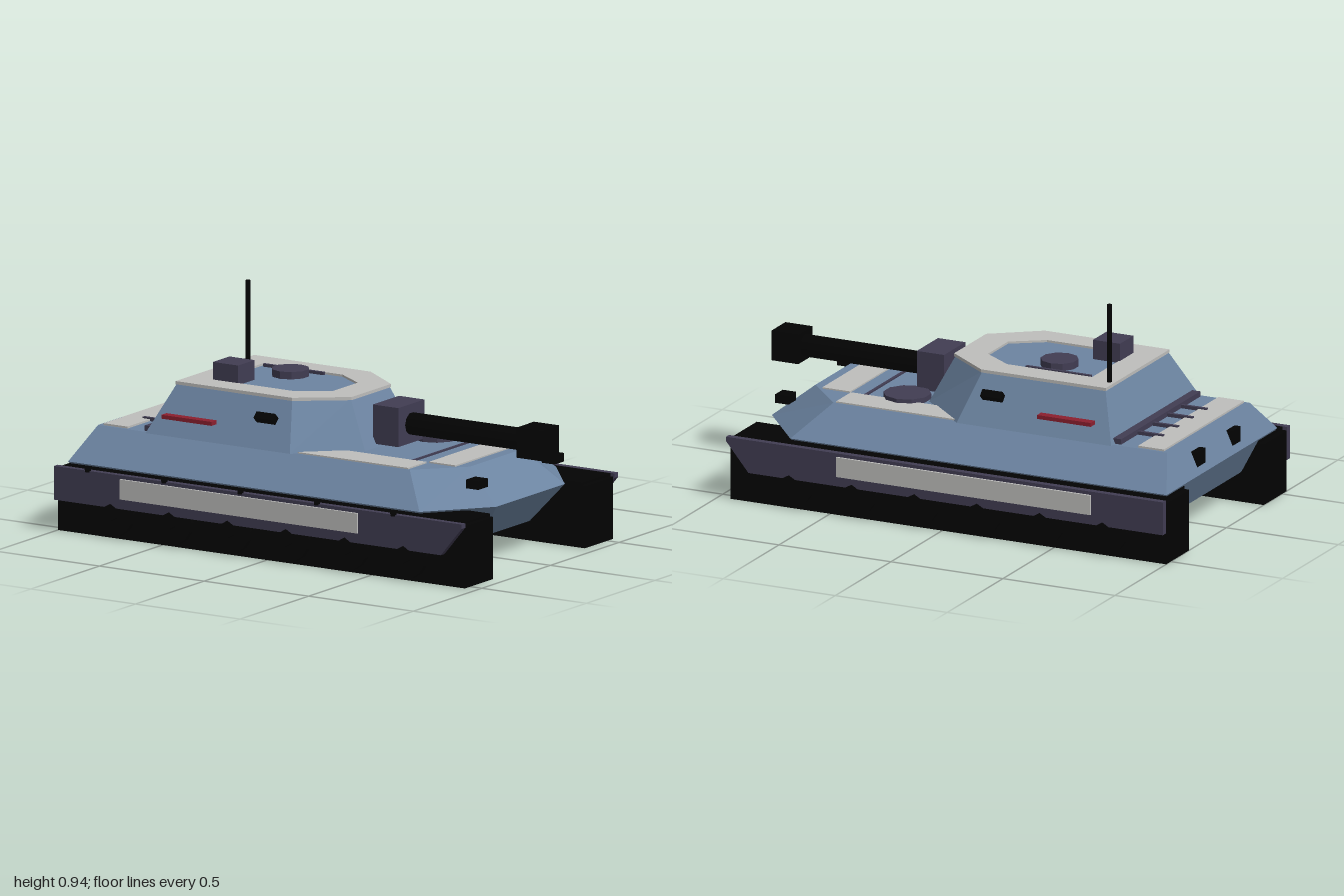
import * as THREE from 'three';

const mat = (name, color) => {
  const m = new THREE.MeshStandardMaterial({ color, flatShading: true });
  m.name = name;
  return m;
};

export function createModel() {
  const group = new THREE.Group();
  const blue = mat('armour blue', 0x6c84a1);
  const grey = mat('light grey panel', 0xbebebc);
  const slate = mat('dark slate', 0x413d53);
  const black = mat('black', 0x030303);
  const red = mat('red', 0x8c1f2e);

  const add = (name, geo, material, x = 0, y = 0, z = 0) => {
    const mesh = new THREE.Mesh(geo, material);
    mesh.name = name;
    mesh.position.set(x, y, z);
    group.add(mesh);
    return mesh;
  };
  // box from its limits on each axis
  const box = (name, material, [x0, x1], [y0, y1], [z0, z1]) =>
    add(name, new THREE.BoxGeometry(x1 - x0, y1 - y0, z1 - z0), material,
      (x0 + x1) / 2, (y0 + y1) / 2, (z0 + z1) / 2);
  // half outline [x, z] on the +z side, mirrored to a closed outline
  const mirrored = (half) => [...half, ...half.slice().reverse().map(([x, z]) => [x, -z])];
  // faceted solid through successive outlines, capped at both ends
  const loft = (levels) => {
    const rings = levels.map(([y, half]) => mirrored(half).map(([x, z]) => [x, y, z]));
    const n = rings[0].length, v = [];
    for (let r = 0; r + 1 < rings.length; r++) {
      for (let i = 0; i < n; i++) {
        const j = (i + 1) % n, lo = rings[r], hi = rings[r + 1];
        v.push(...lo[i], ...lo[j], ...hi[j], ...lo[i], ...hi[j], ...hi[i]);
      }
    }
    const base = rings[0], top = rings[rings.length - 1];
    for (let i = 1; i < n - 1; i++) {
      v.push(...base[0], ...base[i + 1], ...base[i], ...top[0], ...top[i], ...top[i + 1]);
    }
    const geo = new THREE.BufferGeometry();
    geo.setAttribute('position', new THREE.Float32BufferAttribute(v, 3));
    geo.computeVertexNormals();
    return geo;
  };

  // hull, hollow underneath: cavity ceiling, bottom rim, belt, deck
  const rim = [[-0.9, 0.328], [0.64, 0.328], [0.79, 0.17]];
  add('hull', loft([
    [0.272, rim],
    [0.125, rim],
    [0.275, [[-0.98, 0.497], [0.7, 0.497], [0.905, 0.25]]],
    [0.408, [[-0.92, 0.37], [0.57, 0.37], [0.74, 0.19]]],
  ]), blue);

  // turret
  add('turret', loft([
    [0.408, [[-0.68, 0.39], [0.01, 0.39], [0.235, 0.185]]],
    [0.602, [[-0.6, 0.281], [-0.05, 0.281], [0.138, 0.14]]],
  ]), blue);

  // raised border on the turret roof
  const toV2 = (half) => mirrored(half).map(([x, z]) => new THREE.Vector2(x, -z));
  const border = new THREE.Shape(toV2([[-0.604, 0.286], [-0.047, 0.286], [0.144, 0.143]]));
  border.holes.push(new THREE.Path(toV2([[-0.49, 0.178], [-0.11, 0.178], [0.02, 0.09]])));
  add('roofBorder', new THREE.ExtrudeGeometry(border, { depth: 0.013, bevelEnabled: false })
    .rotateX(-Math.PI / 2), grey, 0, 0.598, 0);

  // roof fittings
  add('turretHatch', new THREE.CylinderGeometry(0.077, 0.077, 0.03, 10), slate, -0.295, 0.619, -0.08);
  box('roofRail', slate, [-0.48, -0.19], [0.6, 0.614], [-0.173, -0.16]);
  box('sight', slate, [-0.495, -0.375], [0.6, 0.683], [0.06, 0.18]);
  add('antenna', new THREE.CylinderGeometry(0.01, 0.01, 0.335, 8), black, -0.58, 0.768, -0.205);

  // gun
  box('mantlet', slate, [0.213, 0.335], [0.42, 0.58], [-0.095, 0.095]);
  add('barrel', new THREE.CylinderGeometry(0.045, 0.045, 0.62, 10).rotateZ(Math.PI / 2),
    black, 0.59, 0.5, 0);
  box('muzzle', black, [0.88, 1], [0.438, 0.562], [-0.063, 0.063]);

  // deck fittings
  add('deckHatch', new THREE.CylinderGeometry(0.097, 0.097, 0.026, 10), slate, 0.335, 0.417, -0.18);
  box('deckSeam', slate, [0.49, 0.502], [0.404, 0.414], [-0.235, 0.235]);
  box('frontDeckPanel', grey, [0.568, 0.692], [0.404, 0.414], [-0.225, 0.225]);
  box('rearDeckPanel', grey, [-0.9, -0.785], [0.404, 0.416], [-0.36, 0.36]);
  box('rearBar', slate, [-0.707, -0.67], [0.405, 0.43], [-0.355, 0.355]);
  for (const z of [-0.2, -0.068, 0.065, 0.19]) {
    box('rearRod', slate, [-0.82, -0.69], [0.408, 0.422], [z - 0.007, z + 0.007]);
  }

  // side skirt with a raked front end
  const skirt = new THREE.Shape([[-1, 0.13], [0.85, 0.13], [0.95, 0.25], [0.95, 0.268], [-1, 0.268]]
    .map(([x, y]) => new THREE.Vector2(x, y)));
  const skirtGeo = new THREE.ExtrudeGeometry(skirt, { depth: 0.027, bevelEnabled: false });
  skirtGeo.translate(0, 0, -0.0135);
  const wheelGeo = new THREE.CylinderGeometry(0.1, 0.1, 0.04, 16).rotateX(Math.PI / 2);
  const hubGeo = new THREE.CylinderGeometry(0.036, 0.036, 0.04, 6).rotateX(Math.PI / 2);

  for (const s of [1, -1]) {
    const side = s > 0 ? 'left' : 'right';
    const span = (a, b) => (s > 0 ? [a, b] : [-b, -a]);
    // running gear
    box(side + 'Track', black, [-1, 0.945], [0, 0.255], span(0.335, 0.54));
    box(side + 'Fender', black, [-0.98, 0.93], [0.253, 0.267], span(0.335, 0.545));
    add(side + 'Skirt', skirtGeo, slate, 0, 0, s * 0.557);
    box(side + 'SkirtPanel', grey, [-0.68, 0.455], [0.172, 0.254], span(0.568, 0.58));
    for (let i = 0; i < 6; i++) {
      const x = -0.73 + i * 0.28;
      add(side + 'Wheel', wheelGeo, black, x, 0.11, s * 0.539);
      add(side + 'Hub', hubGeo, black, x, 0.11, s * 0.553);
    }
    // lamps, marker bars and deck panels
    box(side + 'DeckPanel', grey, [0, 0.56], [0.404, 0.414], span(0.233, 0.367));
    box(side + 'MarkerBar', red, [-0.595, -0.355], [0.48, 0.496], span(0.366, 0.403));
    box(side + 'Headlamp', black, [0.8, 0.86], [0.35, 0.385], span(0.243, 0.312));
    box(side + 'RearLamp', black, [-0.967, -0.94], [0.3, 0.366], span(0.122, 0.195));
    add(side + 'VisionBlock', new THREE.BoxGeometry(0.09, 0.032, 0.032).rotateX(Math.PI / 4),
      black, -0.13, 0.53, s * 0.35);
  }

  // small studs along the top of the left skirt
  for (let i = 0; i < 5; i++) {
    add('skirtStud', new THREE.CylinderGeometry(0.015, 0.015, 0.012, 4), black,
      -0.84 + i * 0.365, 0.268, 0.566);
  }
  return group;
}
